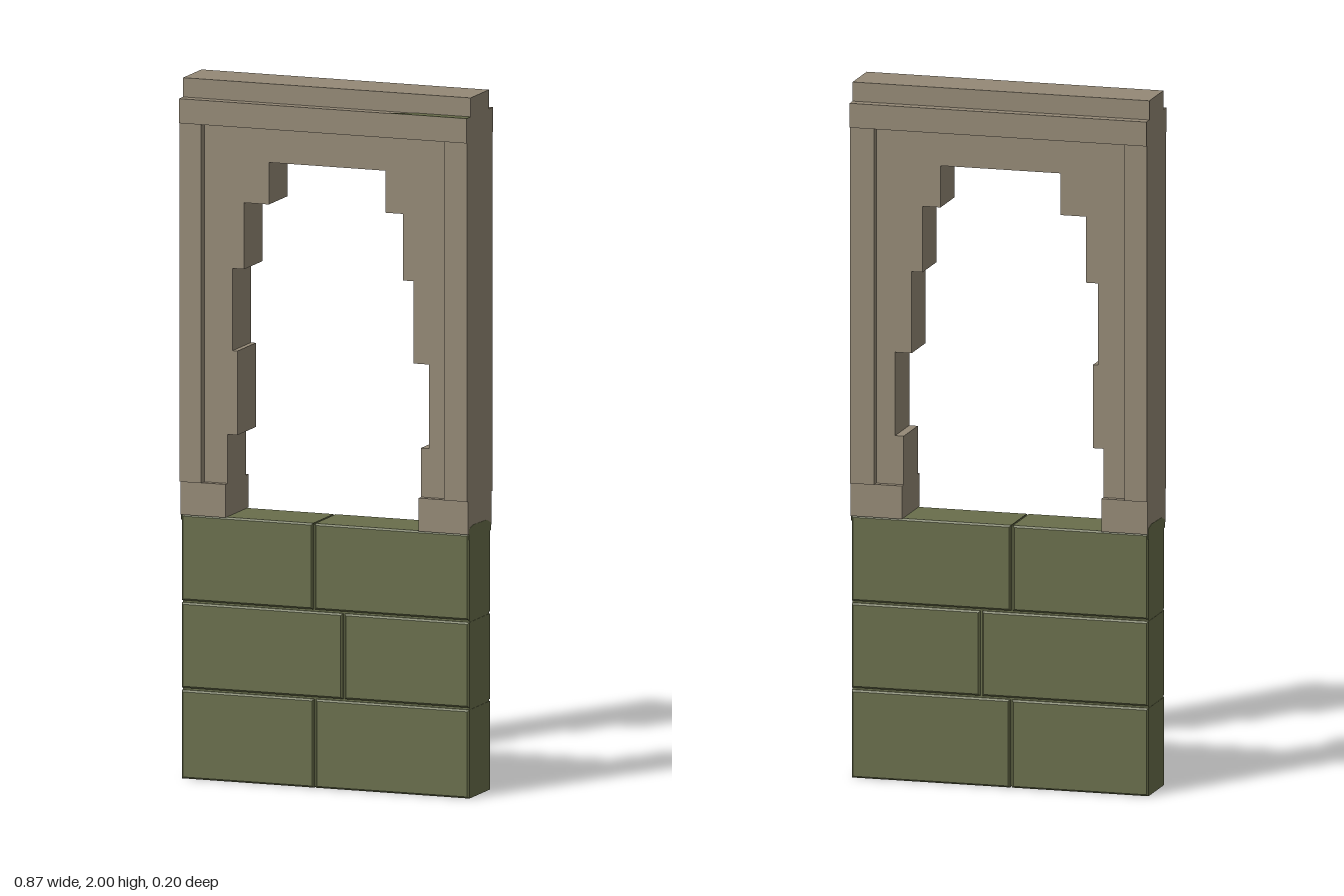
import * as THREE from 'three';

const stone = new THREE.MeshStandardMaterial({ color: 0x948976 });
stone.name = 'sandstone';
const green = new THREE.MeshStandardMaterial({ color: 0x696e4b });
green.name = 'mossy brick';

const HALF = 0.435; // half width of the wall section

export function createModel() {
  const model = new THREE.Group();

  const add = (name, geometry, material) => {
    const mesh = new THREE.Mesh(geometry, material);
    mesh.name = name;
    model.add(mesh);
    return mesh;
  };

  // Box given by its extents
  const box = (name, material, x0, x1, y0, y1, z0, z1) => {
    const mesh = add(name, new THREE.BoxGeometry(x1 - x0, y1 - y0, z1 - z0), material);
    mesh.position.set((x0 + x1) / 2, (y0 + y1) / 2, (z0 + z1) / 2);
    return mesh;
  };

  // Brick with chamfered front and back edges, running through the wall
  const brick = (x0, x1, y0, y1) => {
    const c = 0.005, z = 0.083;
    const shape = new THREE.Shape([
      new THREE.Vector2(x0 + c, y0 + c), new THREE.Vector2(x1 - c, y0 + c),
      new THREE.Vector2(x1 - c, y1 - c), new THREE.Vector2(x0 + c, y1 - c),
    ]);
    const geometry = new THREE.ExtrudeGeometry(shape, {
      depth: 2 * (z - c), bevelEnabled: true, bevelSegments: 1,
      bevelSize: c, bevelThickness: c,
    });
    geometry.translate(0, 0, -(z - c));
    add('brick', geometry, green);
  };

  // Lower wall: core and three courses of staggered bricks
  box('wallCore', green, -HALF + 0.001, HALF - 0.001, 0.003, 0.752, -0.074, 0.074);
  [[0, 0.253, -0.032], [0.259, 0.503, 0.055], [0.509, 0.755, -0.035]].forEach(([y0, y1, joint]) => {
    brick(-HALF, joint - 0.003, y0, y1);
    brick(joint + 0.003, HALF, y0, y1);
  });

  // Recessed surround with a stepped, ragged opening
  const left = [[-0.30, 0.755, 0.99], [-0.27, 0.99, 1.23], [-0.285, 1.23, 1.465], [-0.25, 1.465, 1.655], [-0.175, 1.655, 1.775]];
  const right = [[0.285, 0.755, 0.99], [0.31, 0.99, 1.23], [0.262, 1.23, 1.465], [0.23, 1.465, 1.655], [0.177, 1.655, 1.775]];
  const outline = [[HALF, 0.755], [HALF, 2], [-HALF, 2], [-HALF, 0.755]];
  left.forEach(([x, y0, y1]) => outline.push([x, y0], [x, y1]));
  [...right].reverse().forEach(([x, y0, y1]) => outline.push([x, y1], [x, y0]));
  const surround = new THREE.ExtrudeGeometry(
    new THREE.Shape(outline.map(([x, y]) => new THREE.Vector2(x, y))),
    { depth: 0.14, bevelEnabled: false });
  surround.translate(0, 0, -0.07);
  add('steppedSurround', surround, stone);

  // Raised frame on both faces: uprights, lintel and base blocks
  [1, -1].forEach((side) => {
    const raised = (name, x0, x1, y0, y1, depth) => box(name, stone, x0, x1, y0, y1,
      side > 0 ? 0.06 : -depth, side > 0 ? depth : -0.06);
    raised('leftUpright', 0.365, HALF, 0.85, 1.88, 0.095);
    raised('rightUpright', -HALF, -0.37, 0.85, 1.88, 0.095);
    raised('lintel', -HALF, HALF, 1.875, 1.945, 0.1);
    raised('leftBaseBlock', 0.285, HALF, 0.755, 0.85, 0.088);
    raised('rightBaseBlock', -HALF, -0.30, 0.755, 0.85, 0.088);
  });

  // Moss creeping up the wall ends
  [1, -1].forEach((side) => {
    const shape = new THREE.Shape([[-0.083, 0.74], [0.083, 0.74], [0.083, 0.762], [0.05, 0.775], [-0.05, 0.778], [-0.083, 0.77]]
      .map(([z, y]) => new THREE.Vector2(z, y)));
    const geometry = new THREE.ExtrudeGeometry(shape, { depth: 0.002, bevelEnabled: false });
    geometry.rotateY(side * Math.PI / 2);
    geometry.translate(side * (HALF - 0.001), 0, 0);
    add('endMoss', geometry, green);
  });

  // Moss patch on the front ledge of the lintel
  const patch = new THREE.ExtrudeGeometry(
    new THREE.Shape([[0.2, -0.1], [HALF, -0.1], [HALF, -0.07], [0.26, -0.07]].map(([x, y]) => new THREE.Vector2(x, y))),
    { depth: 0.002, bevelEnabled: false });
  patch.rotateX(-Math.PI / 2);
  patch.translate(0, 1.944, 0);
  add('ledgeMoss', patch, green);

  return model;
}
